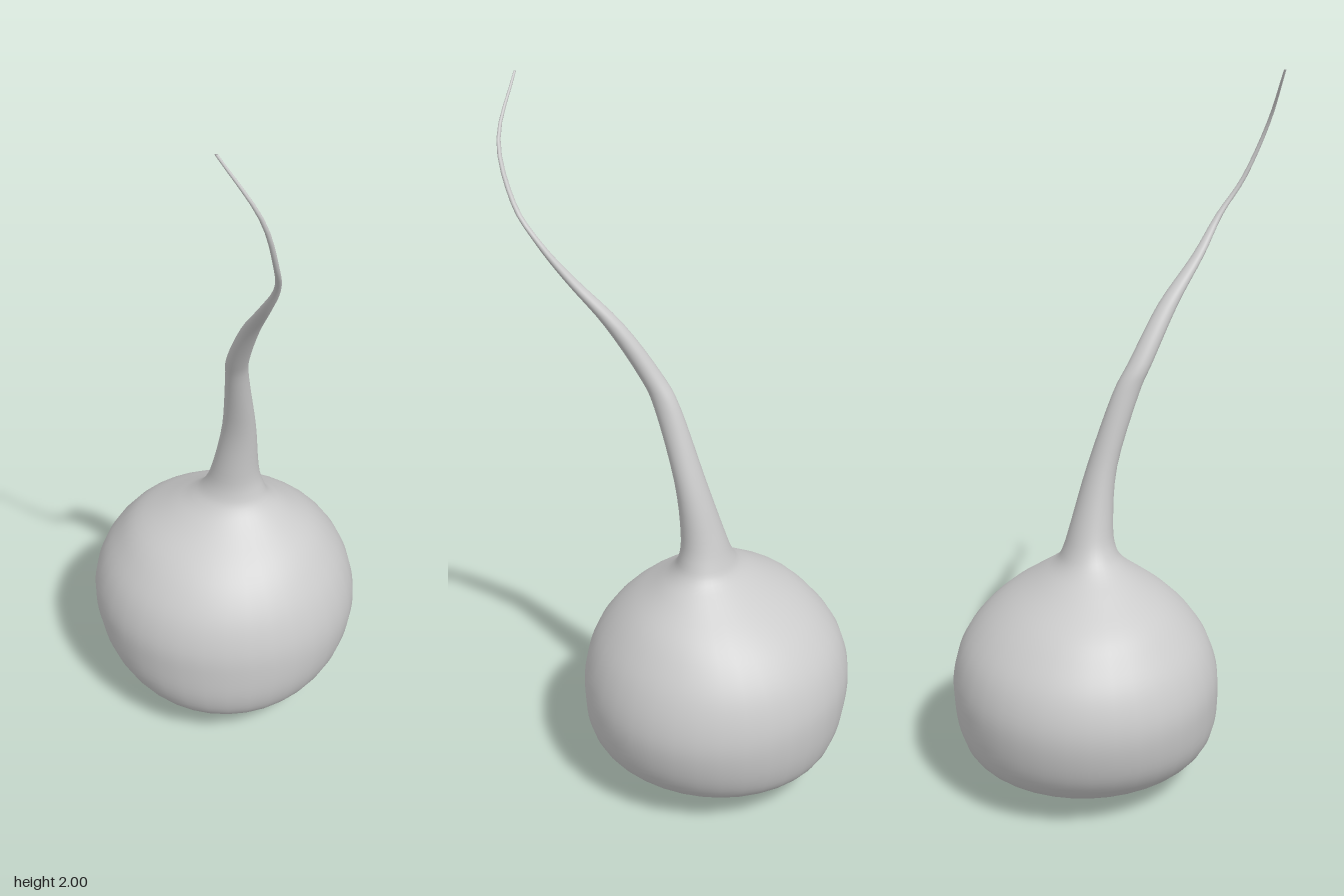
import * as THREE from 'three';

// Silhouette sections from base to tip: [y, xMin, xMax, zMin, zMax]
const SECTIONS = [
  [0.035, 0.02, 0.03, -0.07, -0.06],
  [0.04, -0.06, 0.11, -0.16, 0.03],
  [0.055, -0.15, 0.19, -0.27, 0.13],
  [0.08, -0.24, 0.26, -0.355, 0.2],
  [0.13, -0.305, 0.32, -0.42, 0.255],
  [0.2, -0.355, 0.36, -0.45, 0.28],
  [0.29, -0.382, 0.38, -0.463, 0.285],
  [0.37, -0.384, 0.375, -0.46, 0.28],
  [0.45, -0.36, 0.35, -0.435, 0.255],
  [0.52, -0.315, 0.31, -0.385, 0.21],
  [0.58, -0.26, 0.26, -0.315, 0.15],
  [0.64, -0.165, 0.185, -0.22, 0.07],
  [0.68, -0.1, 0.135, -0.165, 0.025],
  [0.72, -0.06, 0.113, -0.142, 0.003],
  [0.79, -0.033, 0.098, -0.12, -0.003],
  [0.95, 0, 0.093, -0.07, 0.012],
  [1.15, 0.018, 0.081, 0, 0.073],
  [1.24, 0.028, 0.088, 0.05, 0.115],
  [1.38, 0.075, 0.124, 0.138, 0.193],
  [1.5, 0.13, 0.163, 0.245, 0.278],
  [1.6, 0.175, 0.193, 0.32, 0.34],
  [1.7, 0.182, 0.196, 0.393, 0.407],
  [1.85, 0.154, 0.166, 0.45, 0.46],
  [2, 0.058, 0.066, 0.459, 0.465],
];
const SIDES = 36;
const STEPS = 92;

// Loft of elliptical rings between two opposite edge curves
function loftBody() {
  const low = new THREE.CatmullRomCurve3(SECTIONS.map(([y, a, , c]) => new THREE.Vector3(a, y, c)), false, 'catmullrom', 0.5);
  const high = new THREE.CatmullRomCurve3(SECTIONS.map(([y, , b, , d]) => new THREE.Vector3(b, y, d)), false, 'catmullrom', 0.5);
  const positions = [], indices = [];
  for (let i = 0; i <= STEPS; i++) {
    const a = low.getPoint(i / STEPS), b = high.getPoint(i / STEPS);
    for (let j = 0; j < SIDES; j++) {
      const t = (j / SIDES) * Math.PI * 2;
      positions.push(
        (a.x + b.x) / 2 + ((b.x - a.x) / 2) * Math.cos(t),
        a.y,
        (a.z + b.z) / 2 + ((b.z - a.z) / 2) * Math.sin(t),
      );
      if (i < STEPS) {
        const p = i * SIDES + j, q = i * SIDES + ((j + 1) % SIDES);
        indices.push(p, p + SIDES, q, q, p + SIDES, q + SIDES);
      }
    }
  }
  // End caps
  const top = STEPS * SIDES;
  for (let j = 1; j < SIDES - 1; j++) {
    indices.push(0, j, j + 1, top, top + j + 1, top + j);
  }
  const geometry = new THREE.BufferGeometry();
  geometry.setAttribute('position', new THREE.Float32BufferAttribute(positions, 3));
  geometry.setIndex(indices);
  geometry.computeVertexNormals();
  return geometry;
}

export function createModel() {
  const group = new THREE.Group();
  group.name = 'bulb';
  const material = new THREE.MeshStandardMaterial({ color: 0xcccccc });

  const body = new THREE.Mesh(loftBody(), material);
  body.name = 'bulbAndStalk';
  group.add(body);

  // Small crumpled root stubs under the bulb: [x, y, z, rx, ry, rz]
  const roots = new THREE.Group();
  roots.name = 'rootStubs';
  const stubs = [
    [0.01, 0.025, -0.06, 0.04, 0.025, 0.03],
    [-0.04, 0.036, -0.03, 0.05, 0.014, 0.03],
    [0.08, 0.036, -0.09, 0.05, 0.016, 0.035],
    [0.13, 0.04, -0.05, 0.035, 0.014, 0.03],
    [0.03, 0.038, -0.14, 0.04, 0.014, 0.04],
    [0.05, 0.038, 0.01, 0.04, 0.014, 0.03],
  ];
  for (const [x, y, z, rx, ry, rz] of stubs) {
    const stub = new THREE.Mesh(new THREE.SphereGeometry(1, 10, 8), material);
    stub.name = 'rootStub';
    stub.position.set(x, y, z);
    stub.scale.set(rx, ry, rz);
    roots.add(stub);
  }
  group.add(roots);
  return group;
}
